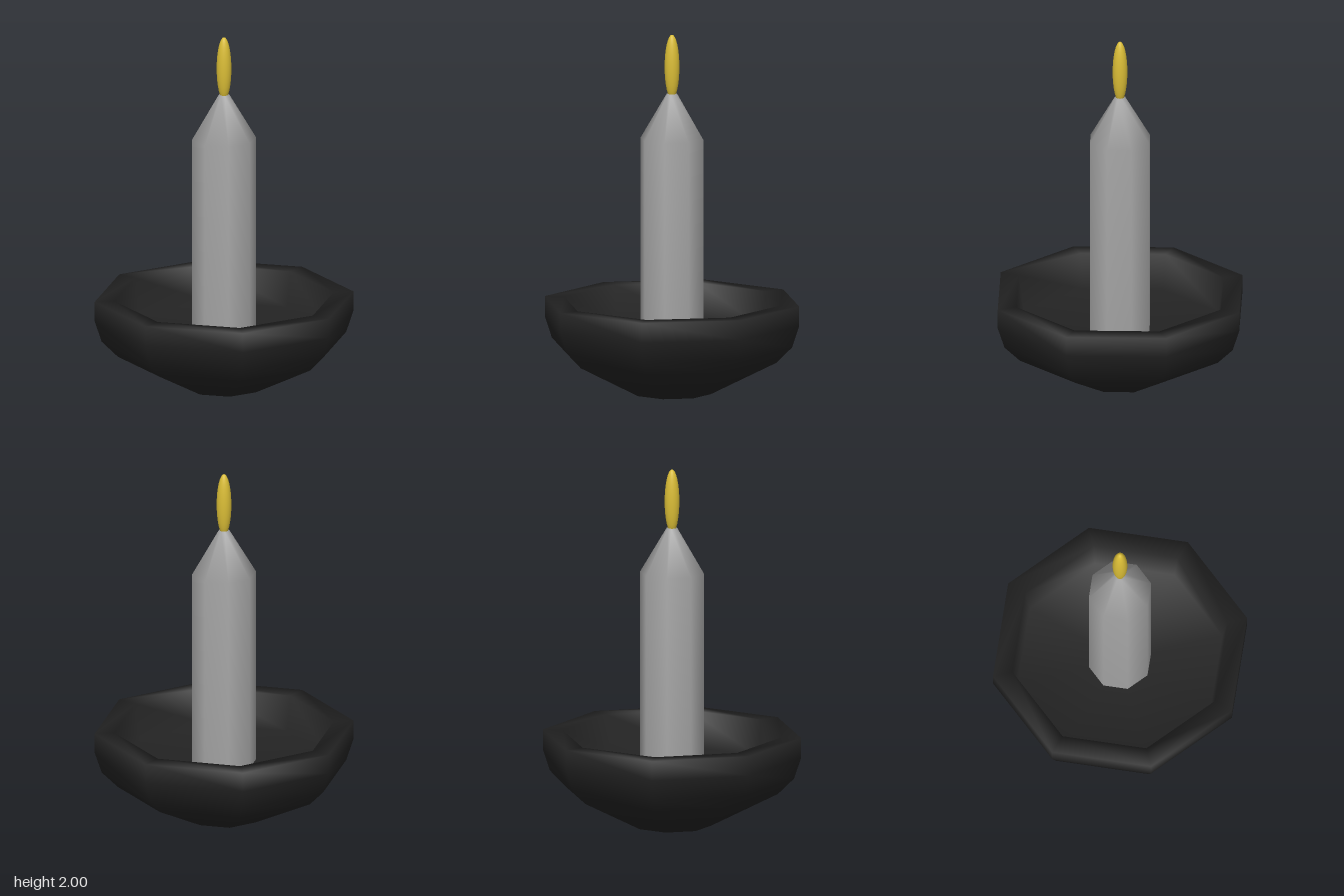
import * as THREE from 'three';

const SIDES = 8;

// Revolved part from [radius, height] pairs, listed bottom to top on the outside
function turned(name, profile, material) {
  const points = profile.map(([r, y]) => new THREE.Vector2(r, y));
  const mesh = new THREE.Mesh(new THREE.LatheGeometry(points, SIDES), material);
  mesh.name = name;
  return mesh;
}

export function createModel() {
  const iron = new THREE.MeshStandardMaterial({ color: 0x222222 });
  iron.name = 'black iron';
  const wax = new THREE.MeshStandardMaterial({ color: 0xa3a3a3 });
  wax.name = 'grey wax';
  const fire = new THREE.MeshStandardMaterial({ color: 0xdabd36 });
  fire.name = 'yellow flame';

  const model = new THREE.Group();
  model.name = 'candle in dish';

  // Eight-sided dish: underside, outer wall, rim, inner wall and floor
  model.add(turned('dish', [
    [0, 0], [0.22, 0], [0.59, 0.19], [0.68, 0.28], [0.72, 0.4], [0.72, 0.51],
    [0.61, 0.51], [0.58, 0.31], [0, 0.31],
  ], iron));

  // Candle with a tapered top
  model.add(turned('candle', [
    [0.177, 0.31], [0.177, 1.42], [0.03, 1.67], [0, 1.67],
  ], wax));

  // Slim oval flame, its foot sunk into the candle tip
  const flame = new THREE.Mesh(new THREE.SphereGeometry(1, 24, 16), fire);
  flame.name = 'flame';
  flame.scale.set(0.041, 0.18, 0.041);
  flame.position.y = 1.82;
  model.add(flame);

  return model;
}
